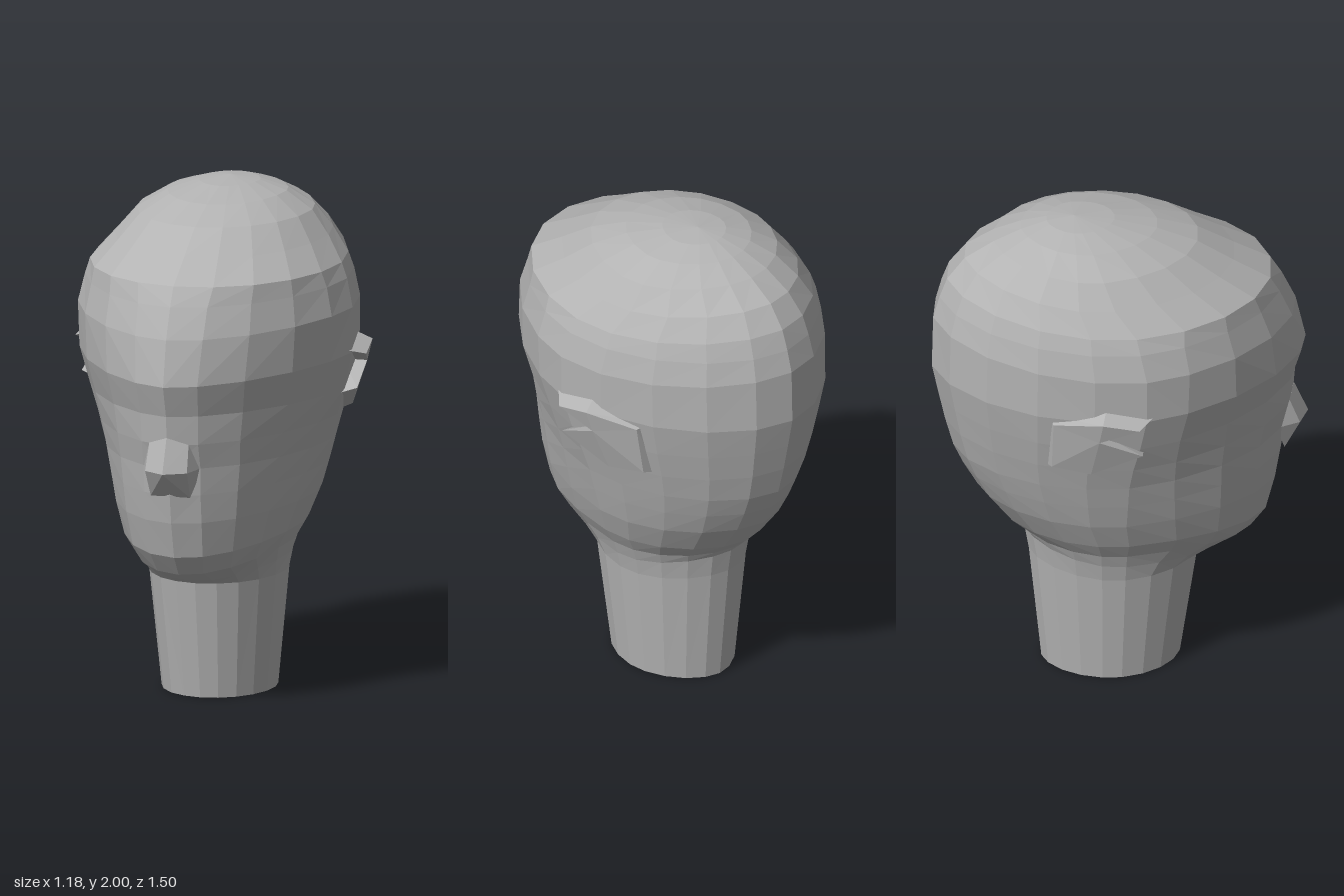
import * as THREE from 'three';
import { ConvexGeometry } from 'three/addons/geometries/ConvexGeometry.js';

const SEGMENTS = 20;

// Cross-sections: front y, side y, back y, front z, back z, half width, z of widest point, front roundness
const SECTIONS = [
  [0, 0, 0, 0.24, -0.31, 0.225, -0.035, 2],           // neck base
  [0.47, 0.47, 0.5, 0.31, -0.36, 0.27, -0.03, 2],     // neck top
  [0.5, 0.54, 0.6, 0.4, -0.377, 0.285, -0.03, 2],     // under the jaw
  [0.55, 0.6, 0.625, 0.53, -0.395, 0.305, -0.03, 2],  // chin edge
  [0.63, 0.67, 0.69, 0.59, -0.467, 0.345, -0.03, 2],
  [0.775, 0.79, 0.82, 0.63, -0.565, 0.39, -0.05, 1.9],
  [0.89, 0.9, 0.92, 0.65, -0.62, 0.42, -0.05, 1.8],
  [1, 1, 1.01, 0.66, -0.66, 0.445, -0.05, 1.75],
  [1.1, 1.1, 1.13, 0.69, -0.692, 0.475, -0.04, 1.65],
  [1.215, 1.215, 1.25, 0.7, -0.718, 0.51, -0.02, 1.6],
  [1.34, 1.36, 1.38, 0.74, -0.745, 0.545, 0, 1.6],    // brow
  [1.52, 1.54, 1.6, 0.7, -0.74, 0.548, 0, 1.7],
  [1.64, 1.65, 1.69, 0.645, -0.715, 0.52, -0.02, 1.8],
  [1.715, 1.71, 1.77, 0.6, -0.685, 0.495, -0.03, 2],  // crown edge
  [1.8, 1.8, 1.857, 0.456, -0.615, 0.42, -0.1, 2],
  [1.89, 1.89, 1.92, 0.31, -0.5, 0.345, -0.13, 2],
  [1.947, 1.955, 1.963, 0.15, -0.39, 0.235, -0.15, 2],
  [1.985, 1.987, 1.99, -0.02, -0.29, 0.12, -0.17, 2],
];

function power(v, e) {
  return Math.sign(v) * Math.pow(Math.abs(v), e);
}

// Point on a cross-section; angle 0 faces front
function sectionPoint([yF, yS, yB, zF, zB, w, zC, round], angle) {
  const s = Math.sin(angle), c = Math.cos(angle);
  const e = 2 / (c > 0 ? round : 1.8);
  const y = yS + (c > 0 ? (yF - yS) : (yB - yS)) * c * c;
  const z = zC + (c > 0 ? zF - zC : zC - zB) * power(c, e);
  return [w * power(s, e), y, z];
}

function makeGeometry(points, index) {
  const g = new THREE.BufferGeometry();
  g.setAttribute('position', new THREE.Float32BufferAttribute(points.flat(), 3));
  g.setIndex(index);
  const flat = g.toNonIndexed();
  flat.computeVertexNormals();
  return flat;
}

// Skin lofted through the cross-sections, closed at both ends
function headGeometry() {
  const points = [], index = [];
  for (const section of SECTIONS)
    for (let j = 0; j < SEGMENTS; j++)
      points.push(sectionPoint(section, (j / SEGMENTS) * Math.PI * 2));
  const last = SECTIONS.length - 1;
  const bottom = points.push([0, 0, -0.035]) - 1;
  const top = points.push([0, 2, -0.18]) - 1;
  for (let j = 0; j < SEGMENTS; j++) {
    const k = (j + 1) % SEGMENTS;
    for (let i = 0; i < last; i++) {
      const a = i * SEGMENTS + j, b = i * SEGMENTS + k;
      const c = b + SEGMENTS, d = a + SEGMENTS;
      // Diagonals mirror across the centre plane
      if (j < SEGMENTS / 2) index.push(a, b, c, a, c, d);
      else index.push(a, b, d, b, c, d);
    }
    index.push(bottom, k, j);
    index.push(top, last * SEGMENTS + j, last * SEGMENTS + k);
  }
  return makeGeometry(points, index);
}

// Notched ear: outer face, then the rim where it sinks into the head
const EAR_OUTER = [
  [0.592, 1.35, -0.04], [0.575, 1.38, -0.18], [0.465, 1.34, -0.355],
  [0.43, 1.13, -0.355], [0.485, 1.11, -0.21], [0.56, 1.215, -0.02], [0.55, 1.29, -0.19],
];
const EAR_BASE = [
  [0.52, 1.38, 0.05], [0.5, 1.42, -0.15], [0.4, 1.35, -0.36],
  [0.36, 1.11, -0.37], [0.4, 1.07, -0.22], [0.48, 1.19, 0], [0.45, 1.29, -0.19],
];

function earGeometry(side) {
  const n = EAR_OUTER.length, notch = n - 1, index = [];
  const points = [...EAR_OUTER, ...EAR_BASE].map(([x, y, z]) => [x * side, y, z]);
  const tri = (a, b, c) => index.push(...(side > 0 ? [a, b, c] : [a, c, b]));
  for (let i = 0; i < n; i++) {
    const k = (i + 1) % n;
    if (i < notch - 1) tri(notch, k, i);
    if (i === notch - 1) continue;
    tri(i, k, k + n);
    tri(i, k + n, i + n);
  }
  // Top of the lower lobe
  tri(notch - 1, notch, notch + n);
  tri(notch - 1, notch + n, notch - 1 + n);
  return makeGeometry(points, index);
}

// Short wedge with a ridge down the middle
function noseGeometry() {
  const points = [new THREE.Vector3(0, 1.13, 0.693), new THREE.Vector3(0, 0.995, 0.75)];
  for (const s of [-1, 1]) {
    points.push(
      new THREE.Vector3(s * 0.08, 1.1, 0.66),
      new THREE.Vector3(s * 0.085, 0.995, 0.7),
      new THREE.Vector3(s * 0.08, 0.885, 0.64),
      new THREE.Vector3(s * 0.12, 1.0, 0.6),
    );
  }
  return new ConvexGeometry(points);
}

export function createModel() {
  const group = new THREE.Group();
  group.name = 'headBust';
  const grey = new THREE.MeshStandardMaterial({ color: 0xb3b3b3 });
  grey.name = 'grey';
  grey.flatShading = true;

  const add = (name, geometry) => {
    const mesh = new THREE.Mesh(geometry, grey);
    mesh.name = name;
    group.add(mesh);
  };
  add('headAndNeck', headGeometry());
  add('nose', noseGeometry());
  add('leftEar', earGeometry(1));
  add('rightEar', earGeometry(-1));
  return group;
}
